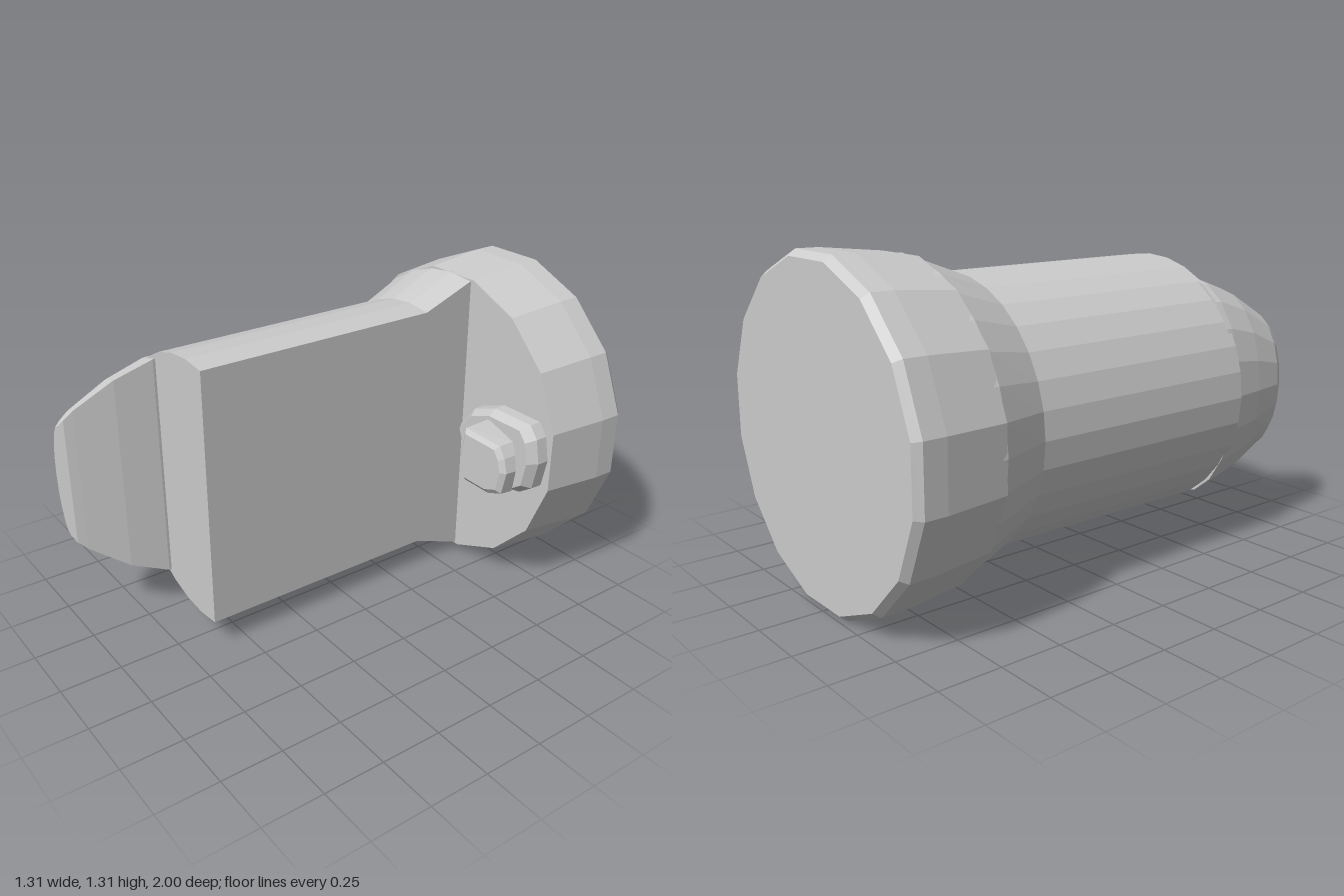
import * as THREE from 'three';

const CY = 0.655; // height of the main axis

// Skin between equal-length rings of [x, y, z], ordered anticlockwise seen from +z, back to front
function loft(rings) {
  const pos = [];
  const tri = (a, b, c) => pos.push(...a, ...b, ...c);
  const n = rings[0].length;
  const centre = (r) => [0, 1, 2].map((k) => r.reduce((s, p) => s + p[k], 0) / n);
  const first = rings[0], last = rings[rings.length - 1];
  const cb = centre(first), cf = centre(last);
  for (let i = 0; i < n; i++) {
    const j = (i + 1) % n;
    for (let k = 0; k < rings.length - 1; k++) {
      const a = rings[k], b = rings[k + 1];
      tri(a[i], a[j], b[j]);
      tri(a[i], b[j], b[i]);
    }
    tri(cb, first[j], first[i]);
    tri(cf, last[i], last[j]);
  }
  const g = new THREE.BufferGeometry();
  g.setAttribute('position', new THREE.Float32BufferAttribute(pos, 3));
  g.computeVertexNormals();
  return g;
}

// Full polygonal ring about the main axis
function circleRing(r, z, n = 16) {
  return Array.from({ length: n }, (_, i) => {
    const a = ((i + 0.5) / n) * Math.PI * 2;
    return [r * Math.cos(a), CY + r * Math.sin(a), z];
  });
}

// Circle cut off by the vertical plane x = cut, keeping the -x side
function cutRing(r, z, cut = 0.11, n = 18) {
  const a0 = Math.acos(cut / r);
  return Array.from({ length: n + 1 }, (_, i) => {
    const a = a0 + (i / n) * (2 * Math.PI - 2 * a0);
    return [r * Math.cos(a), CY + r * Math.sin(a), z];
  });
}

// D-shaped ring: straight chord at x = xc, bulging to x = xl, half height h
function dRing(z, xc, xl, h, n = 10) {
  return Array.from({ length: n + 1 }, (_, i) => {
    const a = Math.PI / 2 + (i / n) * Math.PI;
    return [xc + (xc - xl) * Math.cos(a), CY + h * Math.sin(a), z];
  });
}

// Outline scaled about a centre, placed at depth z
const outlineRing = (pts, cx, cy, s, z) => pts.map(([x, y]) => [cx + (x - cx) * s, cy + (y - cy) * s, z]);

export function createModel() {
  const group = new THREE.Group();
  const material = new THREE.MeshStandardMaterial({ color: 0xcccccc, flatShading: true });
  const add = (name, geometry) => {
    const mesh = new THREE.Mesh(geometry, material);
    mesh.name = name;
    group.add(mesh);
  };

  // Round head with a bevelled back edge
  add('head', loft([
    circleRing(0.643, -1), circleRing(0.667, -0.97), circleRing(0.666, -0.88), circleRing(0.638, -0.625),
  ]));

  // Half-round barrel flaring into the head
  add('barrel', loft([
    cutRing(0.628, -0.65), cutRing(0.628, -0.622), cutRing(0.543, -0.395), cutRing(0.543, 0.64),
  ]));

  // Tapered tongue at the front end
  add('tongue', loft([
    dRing(0.62, -0.235, -0.525, 0.468), dRing(0.65, -0.235, -0.525, 0.466),
    dRing(0.8, -0.27, -0.505, 0.405), dRing(0.95, -0.325, -0.48, 0.3),
    dRing(0.985, -0.34, -0.46, 0.265), dRing(1, -0.36, -0.44, 0.24),
  ]));

  // Egg-shaped base of the knob
  const egg = [
    [0.61, 0.66], [0.59, 0.76], [0.55, 0.81], [0.35, 0.81], [0.23, 0.765], [0.155, 0.67],
    [0.19, 0.58], [0.27, 0.52], [0.42, 0.49], [0.52, 0.495], [0.585, 0.54],
  ];
  add('knobBase', loft([
    outlineRing(egg, 0.4, 0.65, 1, -0.64), outlineRing(egg, 0.4, 0.65, 0.99, -0.575),
    outlineRing(egg, 0.4, 0.65, 0.86, -0.535),
  ]));

  // Wedge-shaped knob, undercut towards +x
  const cap = [
    [0.597, 0.66], [0.58, 0.72], [0.55, 0.765], [0.35, 0.77], [0.33, 0.65],
    [0.36, 0.535], [0.5, 0.532], [0.575, 0.56],
  ];
  const under = outlineRing(cap, 0.45, 0.65, 1, 0).map(([x, y]) => [x, y, -0.54 + Math.max(0, x - 0.4) * 0.4]);
  const front = outlineRing(cap, 0.45, 0.65, 0.97, -0.415);
  add('knob', loft([under, front, outlineRing(cap, 0.44, 0.65, 0.82, -0.4)]));

  return group;
}
